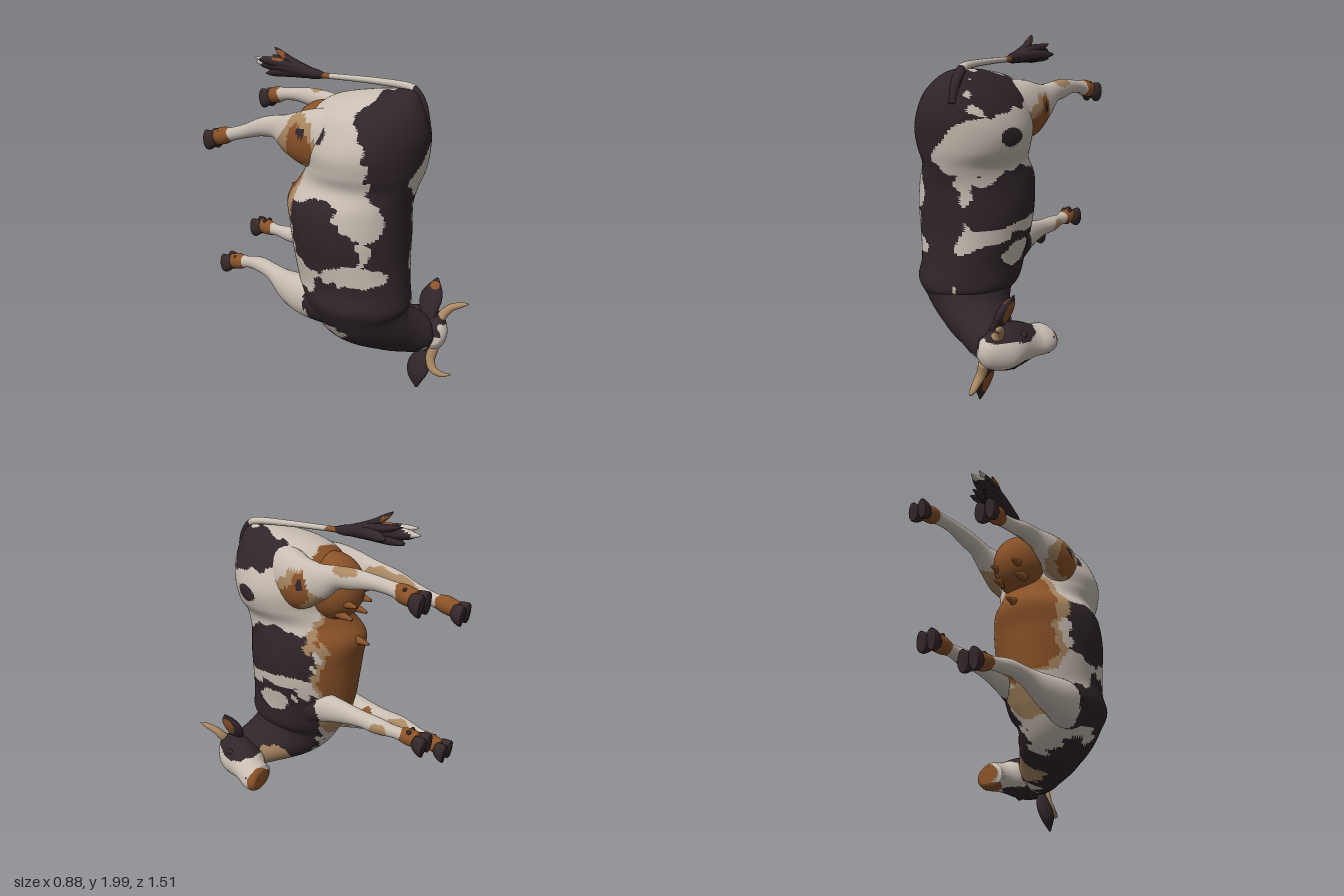
import * as THREE from 'three';

const mat = (name, color) => Object.assign(new THREE.MeshStandardMaterial({ color }), { name });

export function createModel() {
  const cow = new THREE.Group();
  cow.name = 'cow';
  const mats = [
    mat('cream hide', 0xc8bdb2), mat('dark hide', 0x30252a),
    mat('brown hide', 0x8a5228), mat('tan hide', 0xa98762), mat('hoof', 0x35282a),
  ];
  const CREAM = 0, DARK = 1, BROWN = 2, TAN = 3, HOOF = 4;

  // Sweep elliptical sections [x, y, z, width, depth] along a smooth path; aim may turn the rings
  function loft(sections, hint, ring = 20, steps = 40, aim = (t) => t) {
    const curve = (f) => new THREE.CatmullRomCurve3(sections.map(f), false, 'catmullrom', 0.5);
    const path = curve((s) => new THREE.Vector3(s[0], s[1], s[2]));
    const size = curve((s) => new THREE.Vector3(s[3], s[4], 0));
    const pos = [], idx = [];
    for (let i = 0; i <= steps; i++) {
      const c = path.getPoint(i / steps), r = size.getPoint(i / steps), t = aim(path.getTangent(i / steps), c);
      const d = hint.clone().addScaledVector(t, -hint.dot(t)).normalize();
      const w = d.clone().cross(t);
      for (let j = 0; j < ring; j++) {
        const a = (j / ring) * Math.PI * 2;
        const p = c.clone().addScaledVector(w, Math.max(r.x, 0.001) * Math.cos(a))
          .addScaledVector(d, Math.max(r.y, 0.001) * Math.sin(a));
        pos.push(p.x, p.y, p.z);
        if (i < steps) {
          const k = (j + 1) % ring, A = i * ring + j, B = i * ring + k;
          idx.push(A, B, A + ring, B, B + ring, A + ring);
        }
      }
    }
    // End caps
    const n = (steps + 1) * ring, last = steps * ring;
    for (const t of [0, 1]) { const c = path.getPoint(t); pos.push(c.x, c.y, c.z); }
    for (let j = 0; j < ring; j++) {
      const k = (j + 1) % ring;
      idx.push(n, k, j, n + 1, last + j, last + k);
    }
    const g = new THREE.BufferGeometry();
    g.setAttribute('position', new THREE.Float32BufferAttribute(pos, 3));
    g.setIndex(idx);
    g.computeVertexNormals();
    return g;
  }

  // Sort faces into colour groups; patches are [x, y, z, rx, ry, rz, colour], later ones win
  function paint(g, base, patches) {
    const p = g.attributes.position, id = g.index.array, bins = mats.map(() => []);
    for (let i = 0; i < id.length; i += 3) {
      const f = [id[i], id[i + 1], id[i + 2]];
      const [x, y, z] = ['getX', 'getY', 'getZ'].map((m) => f.reduce((s, v) => s + p[m](v), 0) / 3);
      const wobble = 0.2 * Math.sin(23 * y + 9 * x) + 0.18 * Math.sin(27 * z + 14 * y) + 0.12 * Math.sin(51 * (x + z - y));
      let c = base;
      for (const q of patches) {
        const d = ((x - q[0]) / q[3]) ** 2 + ((y - q[1]) / q[4]) ** 2 + ((z - q[2]) / q[5]) ** 2;
        if (d + wobble < 1) c = q[6];
      }
      bins[c].push(...f);
    }
    g.setIndex(bins.flat());
    let start = 0;
    bins.forEach((b, m) => { if (b.length) g.addGroup(start, b.length, m); start += b.length; });
    return g;
  }

  function add(name, g, material, parent = cow) {
    const m = new THREE.Mesh(g, material);
    m.name = name;
    parent.add(m);
    return m;
  }
  const V = (x, y, z) => new THREE.Vector3(x, y, z);
  const Y = V(0, 1, 0), Z = V(0, 0, 1);
  function ball(name, c, r, material) {
    const m = add(name, new THREE.SphereGeometry(1, 28, 20), material);
    m.position.set(...c);
    m.scale.set(...r);
    return m;
  }

  // Trunk with level rings, bending into the neck
  const trunkAim = (t, c) => V(0, -1, 0).lerp(t, 1 - THREE.MathUtils.smoothstep(c.y, 0.4, 0.68)).normalize();
  add('body', paint(loft([
    [-0.02, 1.835, 0.5, 0.015, 0.03], [-0.04, 1.815, 0.42, 0.09, 0.15], [-0.06, 1.775, 0.335, 0.165, 0.265],
    [-0.075, 1.7, 0.3, 0.245, 0.335], [-0.08, 1.6, 0.3, 0.295, 0.352], [-0.085, 1.5, 0.295, 0.32, 0.35],
    [-0.09, 1.4, 0.285, 0.305, 0.345], [-0.105, 1.31, 0.245, 0.275, 0.36],
    [-0.125, 1.2, 0.2, 0.31, 0.38], [-0.125, 1.05, 0.21, 0.325, 0.365], [-0.125, 0.9, 0.22, 0.31, 0.355],
    [-0.13, 0.75, 0.24, 0.285, 0.35], [-0.14, 0.63, 0.275, 0.285, 0.33], [-0.12, 0.53, 0.31, 0.225, 0.28],
    [-0.02, 0.44, 0.39, 0.165, 0.22], [0.08, 0.385, 0.46, 0.14, 0.165], [0.16, 0.35, 0.52, 0.12, 0.13],
    [0.2, 0.34, 0.54, 0.08, 0.09],
  ], Z, 100, 210, trunkAim), CREAM, [
    // spine, rump
    [-0.19, 1.1, 0.62, 0.19, 0.95, 0.25, DARK], [-0.2, 1.67, 0.63, 0.34, 0.3, 0.24, DARK],
    [0.17, 1.72, 0.43, 0.19, 0.13, 0.25, DARK],
    // flank bands and shoulders
    [0.16, 1.09, 0.28, 0.2, 0.2, 0.38, DARK], [-0.42, 1.06, 0.24, 0.22, 0.2, 0.29, DARK],
    [0.08, 0.7, 0.28, 0.28, 0.25, 0.4, DARK], [-0.34, 0.65, 0.4, 0.24, 0.2, 0.33, DARK],
    [0, 0.42, 0.45, 0.4, 0.2, 0.42, DARK],
    // light patches and streaks
    [0.12, 1.4, 0.56, 0.23, 0.17, 0.25, CREAM], [0.2, 0.96, 0.14, 0.14, 0.035, 0.22, CREAM],
    [0.16, 0.81, 0.26, 0.13, 0.07, 0.13, CREAM], [0.08, 0.92, 0.46, 0.15, 0.045, 0.16, CREAM],
    [-0.35, 1.18, 0.46, 0.1, 0.13, 0.16, CREAM], [-0.36, 0.85, 0.44, 0.15, 0.06, 0.2, CREAM],
    // spots
    [0.22, 1.48, 0.4, 0.12, 0.05, 0.07, DARK], [0.15, 1.27, 0.52, 0.08, 0.03, 0.04, DARK],
    [-0.4, 1.6, 0.18, 0.09, 0.06, 0.05, DARK], [-0.3, 1.68, 0.09, 0.035, 0.1, 0.035, DARK],
    // underside
    [-0.1, 0.62, -0.06, 0.2, 0.11, 0.1, TAN], [0.1, 0.35, 0.31, 0.16, 0.1, 0.1, TAN],
    [-0.12, 1.1, -0.15, 0.33, 0.45, 0.22, TAN], [-0.12, 1.1, -0.17, 0.28, 0.42, 0.185, BROWN],
    [-0.08, 1.7, -0.03, 0.19, 0.2, 0.08, BROWN],
  ]), mats);

  // Udder, teats and navel
  ball('udder', [-0.075, 1.53, -0.02], [0.168, 0.2, 0.2], mats[BROWN]);
  const teat = (x, y, z, dy) => add('teat', loft([
    [x, y, z + 0.05, 0.03, 0.03], [x, y + dy * 0.5, z, 0.02, 0.02], [x, y + dy, z - 0.05, 0.008, 0.008],
  ], Y, 12, 8), mats[BROWN]);
  for (const x of [-0.15, 0]) { teat(x, 1.47, -0.19, -0.01); teat(x, 1.4, -0.16, -0.02); }
  teat(-0.12, 1.21, -0.2, -0.01);

  // Legs with cloven hooves
  function leg(name, sections, patches) {
    const g = new THREE.Group();
    g.name = name;
    cow.add(g);
    const [x, y] = sections[sections.length - 1];
    add(name + 'Limb', paint(loft(sections, Y, 28, 70), CREAM, [
      ...patches, [x, y, -0.67, 0.2, 0.2, 0.085, BROWN],
    ]), mats, g);
    for (const s of [-1, 1]) {
      add('hoof', loft([
        [x + s * 0.022, y, -0.685, 0.022, 0.04], [x + s * 0.027, y - 0.005, -0.705, 0.032, 0.052],
        [x + s * 0.033, y - 0.016, -0.74, 0.034, 0.062], [x + s * 0.033, y - 0.018, -0.752, 0.03, 0.058],
      ], Y, 18, 10), mats[HOOF], g);
      add('dewclaw', new THREE.SphereGeometry(0.014, 10, 8), mats[HOOF], g).position.set(x + s * 0.022, y + 0.045, -0.65);
    }
  }
  leg('leftHindLeg', [
    [0.05, 1.6, 0.24, 0.13, 0.17], [0.12, 1.59, 0.07, 0.1, 0.165], [0.14, 1.62, -0.08, 0.065, 0.11],
    [0.145, 1.665, -0.2, 0.05, 0.066], [0.15, 1.68, -0.32, 0.047, 0.058], [0.15, 1.685, -0.45, 0.036, 0.042],
    [0.155, 1.675, -0.57, 0.036, 0.04], [0.16, 1.665, -0.63, 0.048, 0.052], [0.165, 1.65, -0.7, 0.045, 0.048],
  ], [
    [0.2, 1.52, 0.05, 0.14, 0.16, 0.16, TAN], [0.2, 1.49, 0.09, 0.12, 0.08, 0.07, BROWN],
    [0.2, 1.58, 0, 0.12, 0.09, 0.06, BROWN], [0.22, 1.6, 0, 0.08, 0.025, 0.025, DARK],
    [0.18, 1.72, -0.28, 0.06, 0.025, 0.08, TAN],
  ]);
  leg('rightHindLeg', [
    [-0.22, 1.56, 0.24, 0.13, 0.17], [-0.28, 1.55, 0.07, 0.105, 0.165], [-0.3, 1.56, -0.08, 0.065, 0.12],
    [-0.285, 1.58, -0.2, 0.05, 0.07], [-0.285, 1.565, -0.32, 0.047, 0.055], [-0.29, 1.525, -0.45, 0.036, 0.042],
    [-0.3, 1.49, -0.57, 0.036, 0.04], [-0.31, 1.475, -0.63, 0.048, 0.052], [-0.315, 1.455, -0.7, 0.045, 0.048],
  ], [
    [-0.23, 1.52, -0.35, 0.055, 0.12, 0.3, TAN], [-0.38, 1.52, 0.03, 0.14, 0.16, 0.16, TAN],
    [-0.38, 1.52, 0.03, 0.12, 0.11, 0.1, BROWN], [-0.4, 1.6, 0.06, 0.08, 0.03, 0.03, DARK],
  ]);
  leg('leftForeLeg', [
    [0.03, 0.75, 0.2, 0.1, 0.15], [0.03, 0.78, 0.02, 0.085, 0.11], [0.03, 0.79, -0.13, 0.058, 0.08],
    [0.03, 0.79, -0.3, 0.045, 0.053], [0.035, 0.785, -0.43, 0.047, 0.05], [0.035, 0.785, -0.55, 0.034, 0.037],
    [0.035, 0.785, -0.63, 0.046, 0.05], [0.04, 0.785, -0.7, 0.045, 0.048],
  ], [[0.1, 0.75, 0.15, 0.2, 0.2, 0.18, DARK], [0.06, 0.77, -0.45, 0.05, 0.05, 0.06, TAN]]);
  leg('rightForeLeg', [
    [-0.26, 0.62, 0.2, 0.13, 0.16], [-0.3, 0.61, 0.02, 0.1, 0.13], [-0.295, 0.62, -0.13, 0.075, 0.1],
    [-0.27, 0.655, -0.28, 0.05, 0.056], [-0.25, 0.665, -0.42, 0.047, 0.047], [-0.24, 0.645, -0.55, 0.034, 0.037],
    [-0.235, 0.625, -0.63, 0.046, 0.05], [-0.235, 0.61, -0.7, 0.045, 0.048],
  ], [
    [-0.2, 0.62, -0.02, 0.08, 0.13, 0.06, TAN], [-0.2, 0.66, -0.17, 0.07, 0.07, 0.05, BROWN],
    [-0.22, 0.66, -0.42, 0.05, 0.05, 0.09, TAN], [-0.25, 0.6, 0.22, 0.3, 0.24, 0.14, DARK],
  ]);

  // Head turned to the left, with a deep muzzle
  const faceOut = V(0.87, -0.28, 0.4).normalize(), side = V(0.3, 0.95, 0).normalize();
  add('head', paint(loft([
    [0.14, 0.36, 0.635, 0.05, 0.04], [0.19, 0.35, 0.6, 0.115, 0.09], [0.23, 0.345, 0.52, 0.135, 0.13],
    [0.265, 0.335, 0.42, 0.12, 0.12], [0.305, 0.325, 0.34, 0.09, 0.1], [0.33, 0.32, 0.285, 0.085, 0.1],
    [0.335, 0.318, 0.245, 0.077, 0.096], [0.335, 0.318, 0.222, 0.05, 0.07],
  ], faceOut, 56, 90), CREAM, [
    [0.25, 0.45, 0.47, 0.2, 0.07, 0.17, DARK], [0.23, 0.22, 0.46, 0.2, 0.065, 0.17, DARK],
    [0.13, 0.34, 0.48, 0.13, 0.2, 0.16, DARK], [0.34, 0.23, 0.25, 0.12, 0.05, 0.05, BROWN],
    [0.39, 0.32, 0.21, 0.1, 0.1, 0.05, BROWN],
  ]), mats);
  const onHead = (c, s, out) => V(...c).addScaledVector(side, s).addScaledVector(faceOut, out).toArray();
  for (const s of [-1, 1]) {
    ball('eye', onHead([0.255, 0.34, 0.46], s * 0.105, 0.062), [0.018, 0.018, 0.022], mats[HOOF]);
    ball('nostril', onHead([0.335, 0.318, 0.25], s * 0.045, 0.073), [0.013, 0.015, 0.012], mats[HOOF]);
  }

  // Ears with lighter inner faces
  const ear = (name, pts, c) => add(name, paint(loft(pts.map((p, i) => [
    ...p, [0.02, 0.032, 0.03, 0.004][i], [0.03, 0.072, 0.062, 0.008][i],
  ]), Z, 24, 30), DARK, [[...c, 0.035, 0.085, 0.045, BROWN]]), mats);
  ear('leftEar', [[0.19, 0.43, 0.57], [0.235, 0.52, 0.54], [0.27, 0.59, 0.54], [0.31, 0.66, 0.54]], [0.28, 0.55, 0.54]);
  ear('rightEar', [[0.17, 0.25, 0.58], [0.135, 0.16, 0.55], [0.11, 0.085, 0.545], [0.1, 0.005, 0.555]], [0.152, 0.12, 0.55]);

  // Horns
  const horn = (name, pts) => add(name, loft(pts.map((p, i) => {
    const r = [0.032, 0.029, 0.024, 0.016, 0.004][i];
    return [...p, r, r];
  }), faceOut, 16, 30), mats[TAN]);
  horn('leftHorn', [[0.2, 0.4, 0.61], [0.26, 0.45, 0.615], [0.29, 0.5, 0.65], [0.315, 0.53, 0.71], [0.33, 0.543, 0.75]]);
  horn('rightHorn', [[0.17, 0.27, 0.62], [0.15, 0.2, 0.615], [0.135, 0.15, 0.645], [0.145, 0.13, 0.7], [0.165, 0.14, 0.752]]);

  // Tail and tuft
  add('tail', paint(loft([
    [-0.005, 1.66, 0.62, 0.02, 0.02], [-0.005, 1.76, 0.585, 0.026, 0.026], [-0.005, 1.825, 0.535, 0.027, 0.024],
    [-0.01, 1.848, 0.47, 0.024, 0.021], [-0.03, 1.858, 0.25, 0.021, 0.018], [-0.06, 1.86, 0, 0.018, 0.016],
    [-0.07, 1.86, -0.1, 0.02, 0.018],
  ], Y, 16, 70), CREAM, [[-0.01, 1.74, 0.61, 0.1, 0.16, 0.1, DARK], [-0.07, 1.86, -0.04, 0.1, 0.1, 0.05, BROWN]]), mats);
  const root = V(-0.07, 1.88, -0.28);
  const tips = [
    [-0.08, 1.9, -0.572, 0.05], [0.035, 1.88, -0.43, 0.036], [-0.1, 1.995, -0.39, 0.026], [-0.115, 1.93, -0.54, 0.036],
    [-0.04, 1.85, -0.5, 0.036], [-0.1, 1.84, -0.47, 0.036], [-0.03, 1.94, -0.48, 0.03],
  ];
  for (const [x, y, z, r] of tips) {
    const mid = (t, zt) => [root.x + (x - root.x) * t, root.y + (y - root.y) * t, root.z + (z - root.z) * zt];
    add('tailTuft', paint(loft([
      [-0.065, 1.86, -0.03, 0.014, 0.014], [-0.073, 1.868, -0.14, 0.036, 0.032],
      [...mid(0.38, 0), r, r * 0.9], [...mid(0.75, 0.65), r * 0.85, r * 0.65], [x, y, z, 0.004, 0.004],
    ], Y, 12, 24), DARK, [
      [-0.1, 1.95, -0.36, 0.035, 0.035, 0.05, BROWN], [-0.09, 1.95, -0.53, 0.05, 0.06, 0.08, CREAM],
    ]), mats);
  }
  return cow;
}
